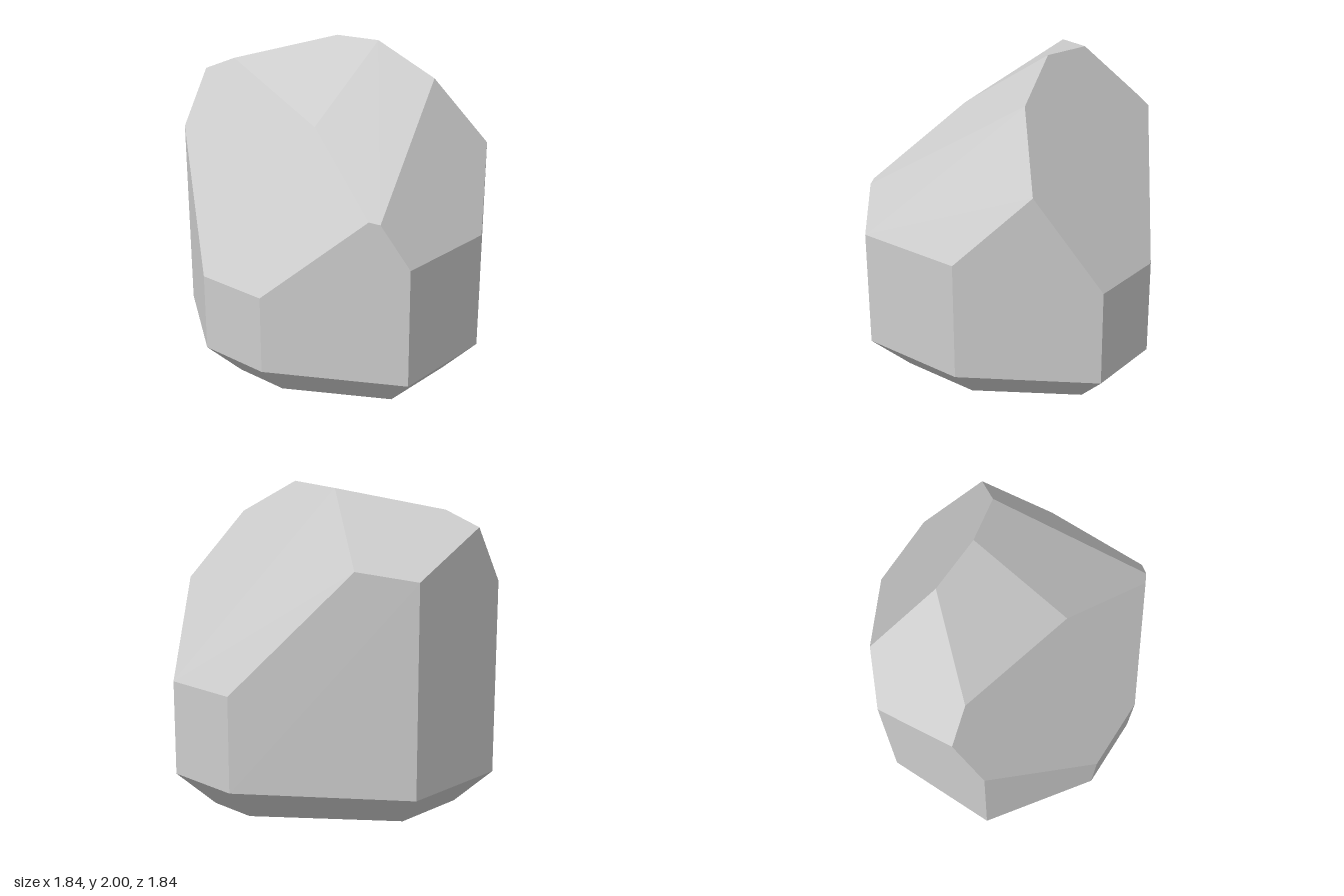
import * as THREE from 'three';

export function createModel() {
  const group = new THREE.Group();
  group.name = 'boulder';
  const stone = new THREE.MeshStandardMaterial({ color: 0xcccccc });
  stone.name = 'pale grey stone';

  const positions = [];
  const normals = [];

  // Adds one flat-shaded facet from a loop of corners, counter-clockwise from outside
  const facet = (...loop) => {
    const normal = new THREE.Vector3();
    const p = loop.map((c) => new THREE.Vector3(...c));
    p.forEach((v, i) => normal.add(v.clone().cross(p[(i + 1) % p.length])));
    normal.normalize();
    for (let i = 1; i < p.length - 1; i++) {
      for (const v of [p[0], p[i], p[i + 1]]) {
        positions.push(...v);
        normals.push(...normal);
      }
    }
  };

  // Eight upright corners: x, z, height of the wall, then x, z of the bevelled foot
  const corners = [
    [-0.31, 0.92, 0.70, -0.24, 0.706], [0.16, 0.92, 0.70, 0.12, 0.706],
    [0.92, 0.49, 0.95, 0.706, 0.37], [0.92, -0.20, 0.95, 0.706, -0.147],
    [0.45, -0.92, 0.81, 0.335, -0.706], [-0.05, -0.92, 0.81, 0.017, -0.706],
    [-0.92, -0.25, 1.50, -0.706, -0.118], [-0.92, 0.48, 1.42, -0.706, 0.375],
  ];
  const foot = corners.map(([, , , x, z]) => [x, 0, z]);
  const low = corners.map(([x, z]) => [x, 0.22, z]);
  const top = corners.map(([x, z, y]) => [x, y, z]);

  // Points where the sloping cuts meet
  const peak = [0.08, 2.0, -0.24];
  const peakLeft = [-0.27, 1.98, -0.257];
  const shoulder = [-0.71, 1.85, 0.225];
  const brow = [0.11, 1.595, 0.38];
  const browEnd = [0.71, 1.22, 0.605];
  const cheek = [0.77, 1.21, 0.575];
  const ridge = [0.435, 1.80, -0.345];
  const ridgeEnd = [0.675, 1.385, -0.587];
  const sideTop = [-0.92, 1.76, 0.276];
  const backNotch = [-0.647, 1.557, -0.49];

  // Walls and bevels; some walls rise to extra points between their corners
  const between = { 1: [cheek, browEnd], 3: [ridgeEnd], 5: [backNotch], 6: [sideTop] };
  for (let i = 0; i < 8; i++) {
    const j = (i + 1) % 8;
    facet(foot[i], foot[j], low[j], low[i]);
    facet(low[i], low[j], top[j], ...(between[i] ?? []), top[i]);
  }
  facet(...foot.slice().reverse());

  // Sloping cuts of the crown
  facet(top[0], top[1], browEnd, brow, shoulder, sideTop, top[7]);
  facet(top[2], top[3], ridgeEnd, ridge, cheek);
  facet(top[4], top[5], backNotch, peakLeft, peak, ridge, ridgeEnd);
  facet(top[6], sideTop, shoulder, peakLeft, backNotch);
  facet(peak, peakLeft, shoulder, brow);
  facet(peak, brow, browEnd, cheek, ridge);

  const geometry = new THREE.BufferGeometry();
  geometry.setAttribute('position', new THREE.Float32BufferAttribute(positions, 3));
  geometry.setAttribute('normal', new THREE.Float32BufferAttribute(normals, 3));
  const rock = new THREE.Mesh(geometry, stone);
  rock.name = 'rock';
  group.add(rock);
  return group;
}
